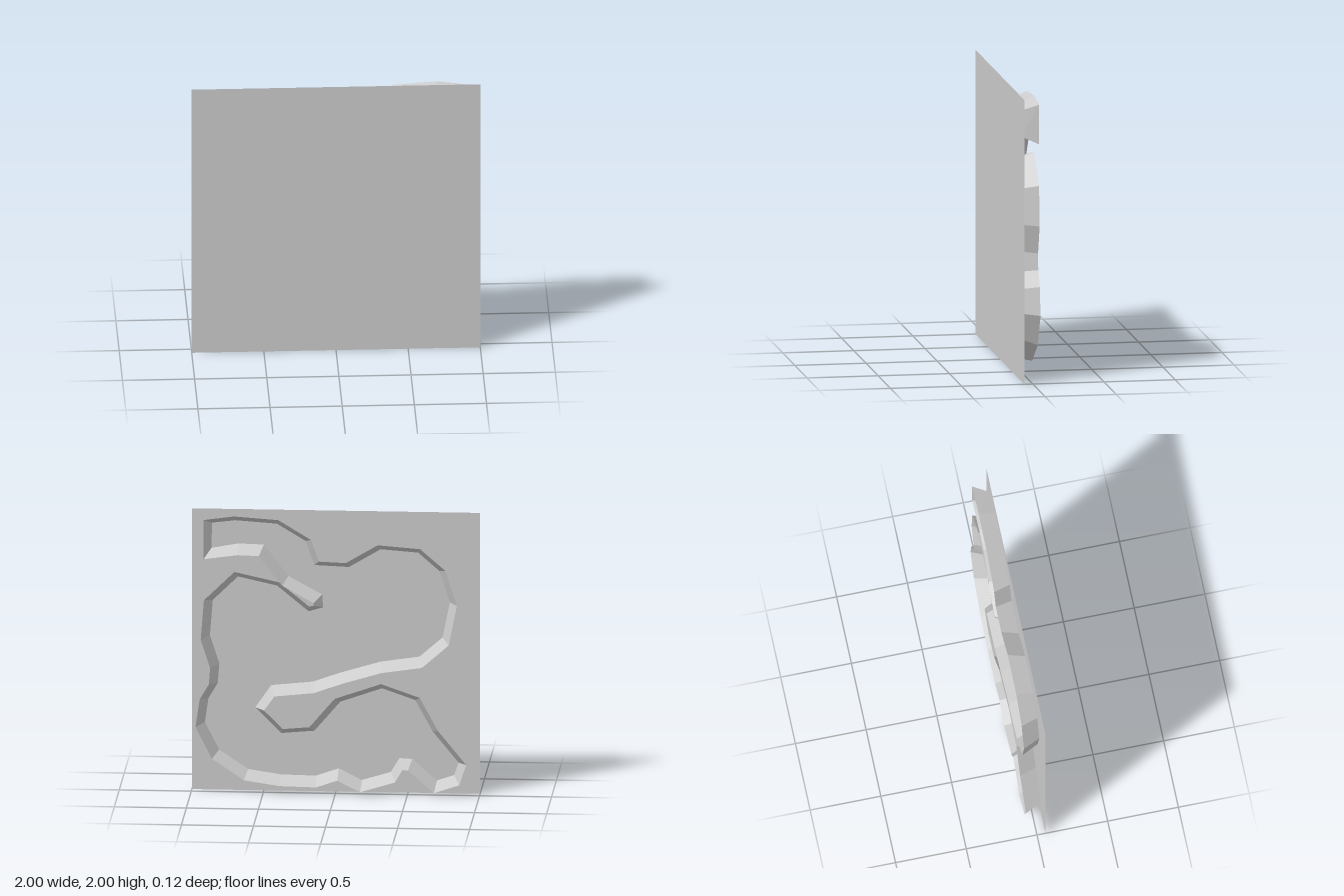
import * as THREE from 'three';

// Outline of the winding channel where it meets the panel, counter-clockwise [x, y]
const OUTLINE = [
  [0.86, 1.9], [0.7, 1.92], [0.41, 1.9], [0.21, 1.78], [0.15, 1.61], [-0.09, 1.6],
  [-0.31, 1.73], [-0.57, 1.71], [-0.72, 1.58], [-0.79, 1.36], [-0.74, 1.11], [-0.58, 0.97],
  [-0.31, 0.93], [-0.04, 0.85], [0.16, 0.78], [0.45, 0.75], [0.56, 0.59], [0.38, 0.41],
  [0.15, 0.43], [-0.03, 0.64], [-0.32, 0.74], [-0.55, 0.66], [-0.67, 0.44], [-0.85, 0.22],
  [-0.82, 0.13], [-0.7, 0.09], [-0.53, 0.24], [-0.44, 0.245], [-0.38, 0.145], [-0.18, 0.085],
  [-0.02, 0.165], [0.14, 0.11], [0.38, 0.115], [0.61, 0.15], [0.81, 0.285], [0.91, 0.48],
  [0.885, 0.65], [0.82, 0.76], [0.81, 0.9], [0.875, 1.1], [0.855, 1.35], [0.68, 1.52],
  [0.41, 1.46], [0.19, 1.28], [0.09, 1.31], [0.095, 1.4], [0.33, 1.53], [0.5, 1.75],
  [0.68, 1.755], [0.865, 1.72],
].map(([x, y]) => new THREE.Vector2(x, y));

const FRONT = 0.06, BACK = -0.06, FLARE = 0.055;

// Push every corner outward along the mean normal of its two edges
function flare(points, distance) {
  const n = points.length;
  const normal = (a, b) => new THREE.Vector2(b.y - a.y, a.x - b.x).normalize();
  return points.map((p, i) => {
    const before = normal(points[(i + n - 1) % n], p);
    const mean = before.clone().add(normal(p, points[(i + 1) % n])).normalize();
    const mitre = Math.min(1.25, 1 / mean.dot(before));
    return p.clone().addScaledVector(mean, distance * mitre);
  });
}

// Closed ribbon of flat quads between the front loop and the back loop
function ribbon(front, back) {
  const positions = [];
  front.forEach((a, i) => {
    const j = (i + 1) % front.length;
    const b = front[j], c = back[j], d = back[i];
    positions.push(a.x, a.y, FRONT, b.x, b.y, FRONT, c.x, c.y, BACK);
    positions.push(a.x, a.y, FRONT, c.x, c.y, BACK, d.x, d.y, BACK);
  });
  const geometry = new THREE.BufferGeometry();
  geometry.setAttribute('position', new THREE.Float32BufferAttribute(positions, 3));
  geometry.computeVertexNormals();
  return geometry;
}

export function createModel() {
  const group = new THREE.Group();
  const material = new THREE.MeshStandardMaterial({
    color: 0xcccccc, flatShading: true, side: THREE.DoubleSide,
  });

  // Flat square sheet
  const panel = new THREE.Mesh(new THREE.PlaneGeometry(2, 2), material);
  panel.name = 'panel';
  panel.position.set(0, 1, FRONT);

  // Sloping bank that runs around the channel behind the sheet
  const bank = new THREE.Mesh(ribbon(OUTLINE, flare(OUTLINE, FLARE)), material);
  bank.name = 'channelBank';

  group.add(panel, bank);
  return group;
}
